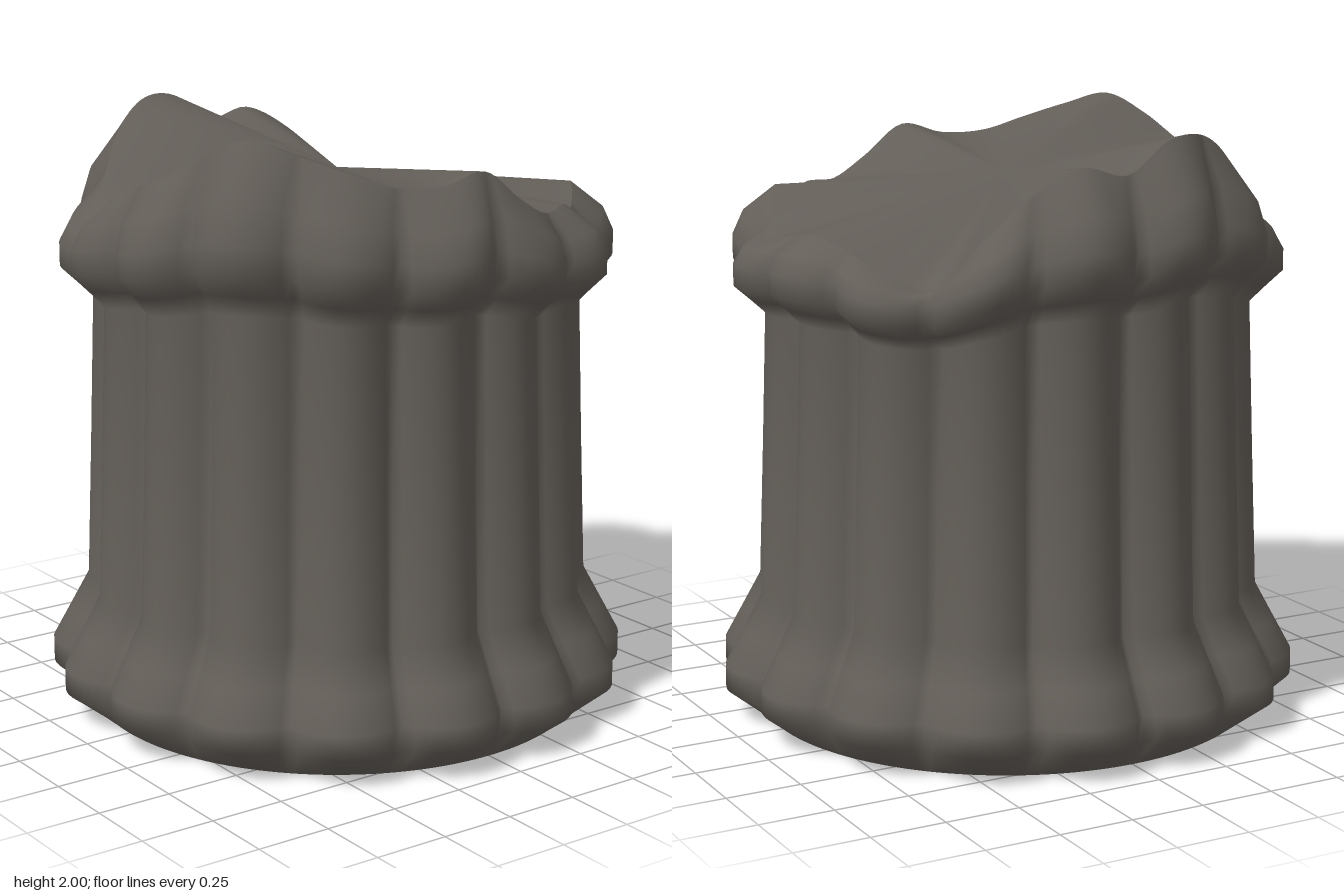
import * as THREE from 'three';

const SEGMENTS = 192;
const FLUTES = 16;
const RIM_RADIUS = 0.775;
const BASE_RADIUS = 0.84;
const CENTRE_HEIGHT = 1.8;

// Broken rim heights, evenly spaced from the front (+z) towards +x
const RIM = [
  1.89, 1.79, 1.72, 1.725, 1.69, 1.75, 1.66, 1.62,
  1.64, 1.66, 1.62, 1.56, 1.53, 1.68, 1.82, 1.90,
  1.87, 1.965, 1.975, 1.91, 1.80, 1.68, 1.67, 1.755,
  1.81, 1.86, 1.94, 2.0, 1.96, 1.91, 1.86, 1.855,
];

// Rings of the wall: lobe radius, flute depth, height, how far the height follows the rim
const RINGS = [
  [0.84, 0, 0, 0],
  [0.975, 0.07, 0.1, 0],
  [0.975, 0.075, 0.18, 0],
  [0.915, 0.075, 0.29, 0],
  [0.85, 0.075, 0.41, 0],
  [0.83, 0.075, 0.9, 0],
  [0.812, 0.075, 1.39, 0.27],
  [0.865, 0.075, 1.445, 0.33],
  [0.92, 0.075, 1.5, 0.4],
  [0.92, 0.075, 1.575, 0.45],
  [0.885, 0.06, 1.645, 0.65],
  [RIM_RADIUS, 0, 1.72, 1],
];

// Smooth periodic interpolation of the rim
function rimHeight(t) {
  const n = RIM.length;
  const f = t * n;
  const i = Math.floor(f);
  const u = f - i;
  const p = (k) => RIM[(i + k + n) % n];
  const m0 = (p(1) - p(-1)) / 2;
  const m1 = (p(2) - p(0)) / 2;
  const y = (2 * u ** 3 - 3 * u ** 2 + 1) * p(0) + (u ** 3 - 2 * u ** 2 + u) * m0
    + (3 * u ** 2 - 2 * u ** 3) * p(1) + (u ** 3 - u ** 2) * m1;
  return Math.min(y, 2);
}

function makeGeometry(positions, indices) {
  const geometry = new THREE.BufferGeometry();
  geometry.setAttribute('position', new THREE.Float32BufferAttribute(positions, 3));
  geometry.setIndex(indices);
  geometry.computeVertexNormals();
  return geometry;
}

// Fluted wall with flared base and swollen, uneven lip
function wallGeometry() {
  const positions = [];
  const indices = [];
  RINGS.forEach(([radius, depth, height, follow], row) => {
    for (let i = 0; i < SEGMENTS; i++) {
      const t = i / SEGMENTS;
      const a = t * Math.PI * 2;
      const lobe = Math.abs(Math.sin(a * FLUTES / 2)) ** 0.85;
      const r = radius - depth * (1 - lobe);
      positions.push(r * Math.sin(a), height + follow * (rimHeight(t) - 1.72), r * Math.cos(a));
      if (row === 0) continue;
      const next = (i + 1) % SEGMENTS;
      const low = (row - 1) * SEGMENTS;
      const high = row * SEGMENTS;
      indices.push(low + i, low + next, high + next, low + i, high + next, high + i);
    }
  });
  return makeGeometry(positions, indices);
}

// Broken top face: a fan from the centre to the uneven rim
function topGeometry() {
  const positions = [0, CENTRE_HEIGHT, 0];
  const indices = [];
  for (let i = 0; i < SEGMENTS; i++) {
    const t = i / SEGMENTS;
    const a = t * Math.PI * 2;
    positions.push(RIM_RADIUS * Math.sin(a), rimHeight(t), RIM_RADIUS * Math.cos(a));
    indices.push(0, 1 + i, 1 + (i + 1) % SEGMENTS);
  }
  return makeGeometry(positions, indices);
}

export function createModel() {
  const stone = new THREE.MeshStandardMaterial({ color: 0x635e58 });
  stone.name = 'dark stone';

  const group = new THREE.Group();
  group.name = 'brokenColumn';
  const add = (name, geometry) => {
    const mesh = new THREE.Mesh(geometry, stone);
    mesh.name = name;
    group.add(mesh);
  };

  add('flutedWall', wallGeometry());
  add('brokenTop', topGeometry());
  add('underside', new THREE.CircleGeometry(BASE_RADIUS, SEGMENTS).rotateX(Math.PI / 2));
  return group;
}
